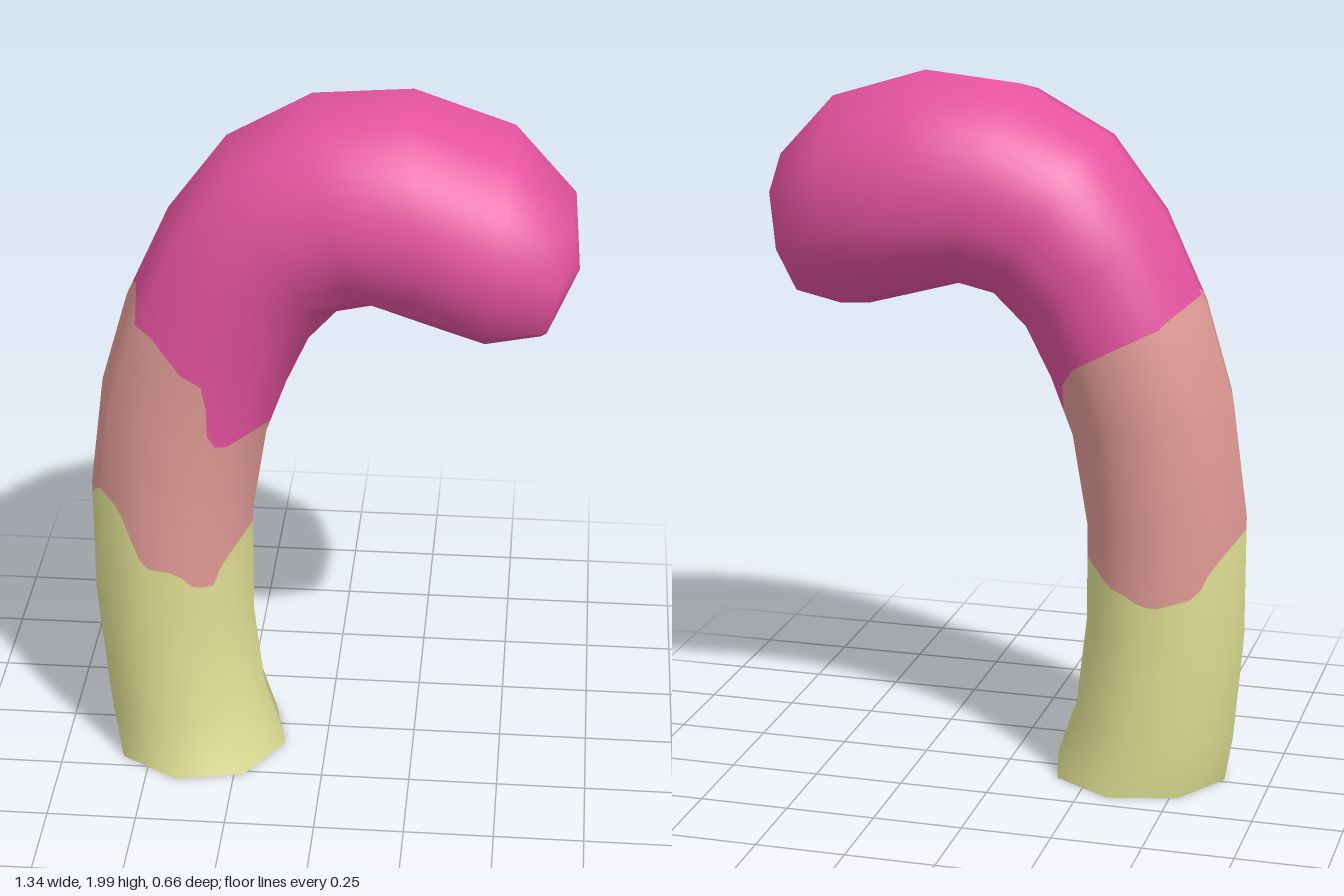
import * as THREE from 'three';

const SIDES = 8, SUB = 6, PHASE = 9;

// Cross-sections: outer x, y, inner x, y, front z, back z (last one closes the tip)
const RINGS = [
  [-0.625, 0.01, -0.115, 0.01, 0.31, -0.20],
  [-0.65, 0.15, -0.175, 0.18, 0.27, -0.205],
  [-0.675, 0.45, -0.205, 0.45, 0.27, -0.205],
  [-0.675, 0.80, -0.205, 0.77, 0.27, -0.21],
  [-0.635, 1.12, -0.165, 1.02, 0.262, -0.225],
  [-0.56, 1.38, -0.11, 1.17, 0.265, -0.245],
  [-0.44, 1.64, -0.05, 1.30, 0.27, -0.27],
  [-0.28, 1.85, 0.025, 1.38, 0.285, -0.305],
  [-0.05, 1.975, 0.12, 1.40, 0.305, -0.335],
  [0.22, 2.00, 0.27, 1.355, 0.33, -0.335],
  [0.49, 1.915, 0.425, 1.31, 0.325, -0.30],
  [0.655, 1.74, 0.575, 1.34, 0.24, -0.19],
  [0.672, 1.53, 0.672, 1.53, 0.025, 0.025],
];
const LAST = RINGS.length - 1;

// Heights of the ragged colour borders, as [angle, y] round the tube (0 = front, 90 = outer side)
const LOWER_BORDER = [[0, 0.67], [15, 0.69], [25, 0.76], [34, 0.83], [54, 0.88], [75, 0.83], [100, 0.76],
  [120, 0.71], [135, 0.67], [150, 0.6], [177, 0.57], [195, 0.6], [213, 0.61], [237, 0.69], [275, 0.745],
  [315, 0.66], [325, 0.61], [338, 0.61], [350, 0.66], [360, 0.67]];
const UPPER_BORDER = [[0, 1.26], [40, 1.36], [90, 1.43], [135, 1.37], [180, 1.29], [211, 1.23], [228, 1.17],
  [233, 1.1], [250, 1.05], [320, 1.05], [335, 1.05], [343, 1.12], [350, 1.23], [360, 1.26]];

function borderHeight(table, angle) {
  const a = angle % 360;
  const i = table.findIndex(p => p[0] > a);
  const [a0, y0] = table[i - 1], [a1, y1] = table[i];
  return y0 + (y1 - y0) * (a - a0) / (a1 - a0);
}

// Eight-sided base grid with smooth normals
function baseGrid() {
  const pos = [], index = [];
  RINGS.forEach(([ox, oy, ix, iy, zf, zb], k) => {
    for (let j = 0; j < SIDES; j++) {
      const a = THREE.MathUtils.degToRad(PHASE + j * 360 / SIDES), s = Math.sin(a), c = Math.cos(a);
      pos.push((ox + ix) / 2 + s * (ox - ix) / 2, (oy + iy) / 2 + s * (oy - iy) / 2, (zf + zb) / 2 + c * (zf - zb) / 2);
      if (k === LAST) continue;
      const n = (j + 1) % SIDES, p = k * SIDES, q = p + SIDES;
      index.push(p + j, q + j, p + n, q + j, q + n, p + n);
    }
  });
  const g = new THREE.BufferGeometry();
  g.setAttribute('position', new THREE.Float32BufferAttribute(pos, 3));
  g.setIndex(index);
  g.computeVertexNormals();
  return g;
}

// Bilinear lookup on the base grid: column c round the tube, t along it
function sample(attribute, c, t) {
  const j = Math.floor(c / SUB), f = c / SUB - j;
  const k = Math.min(Math.floor(t), LAST - 1), g = t - k;
  const at = (ring, side) => new THREE.Vector3().fromBufferAttribute(attribute, ring * SIDES + side % SIDES);
  return at(k, j).lerp(at(k, j + 1), f).lerp(at(k + 1, j).lerp(at(k + 1, j + 1), f), g);
}

// Position along the tube where a column reaches the border
function borderT(base, table, c) {
  const y = borderHeight(table, PHASE + c * 360 / (SIDES * SUB));
  let lo = 0, hi = 7;
  for (let i = 0; i < 30; i++) {
    const mid = (lo + hi) / 2;
    if (sample(base.attributes.position, c, mid).y < y) lo = mid; else hi = mid;
  }
  return lo;
}

// One colour band of the tube between two limits
function band(base, from, to) {
  const pos = [], nor = [], index = [], cols = SIDES * SUB, ts = [];
  for (let k = 0; k <= LAST; k++) {
    for (let c = 0; c <= cols; c++) {
      const t = THREE.MathUtils.clamp(k, from(c % cols), to(c % cols));
      ts.push(t);
      pos.push(...sample(base.attributes.position, c % cols, t).toArray());
      nor.push(...sample(base.attributes.normal, c % cols, t).normalize().toArray());
    }
  }
  const row = cols + 1;
  for (let k = 0; k < LAST; k++) {
    for (let c = 0; c < cols; c++) {
      const p = k * row + c, q = p + row;
      if (ts[q] > ts[p]) index.push(p, q, p + 1);
      if (ts[q + 1] > ts[p + 1]) index.push(q, q + 1, p + 1);
    }
  }
  const g = new THREE.BufferGeometry();
  g.setAttribute('position', new THREE.Float32BufferAttribute(pos, 3));
  g.setAttribute('normal', new THREE.Float32BufferAttribute(nor, 3));
  g.setIndex(index);
  return g;
}

export function createModel() {
  const group = new THREE.Group();
  group.name = 'bentTube';
  const base = baseGrid();
  const lower = c => borderT(base, LOWER_BORDER, c);
  const upper = c => borderT(base, UPPER_BORDER, c);

  const add = (name, colourName, color, from, to) => {
    const material = new THREE.MeshStandardMaterial({ color, side: THREE.DoubleSide });
    material.name = colourName;
    const mesh = new THREE.Mesh(band(base, from, to), material);
    mesh.name = name;
    group.add(mesh);
  };
  // Open-bottomed stem, middle band, and rounded drooping head
  add('stem', 'paleYellow', 0xdfde93, () => 0, lower);
  add('middleBand', 'salmon', 0xe09a95, lower, upper);
  add('head', 'pink', 0xe5539f, upper, () => LAST);
  return group;
}
